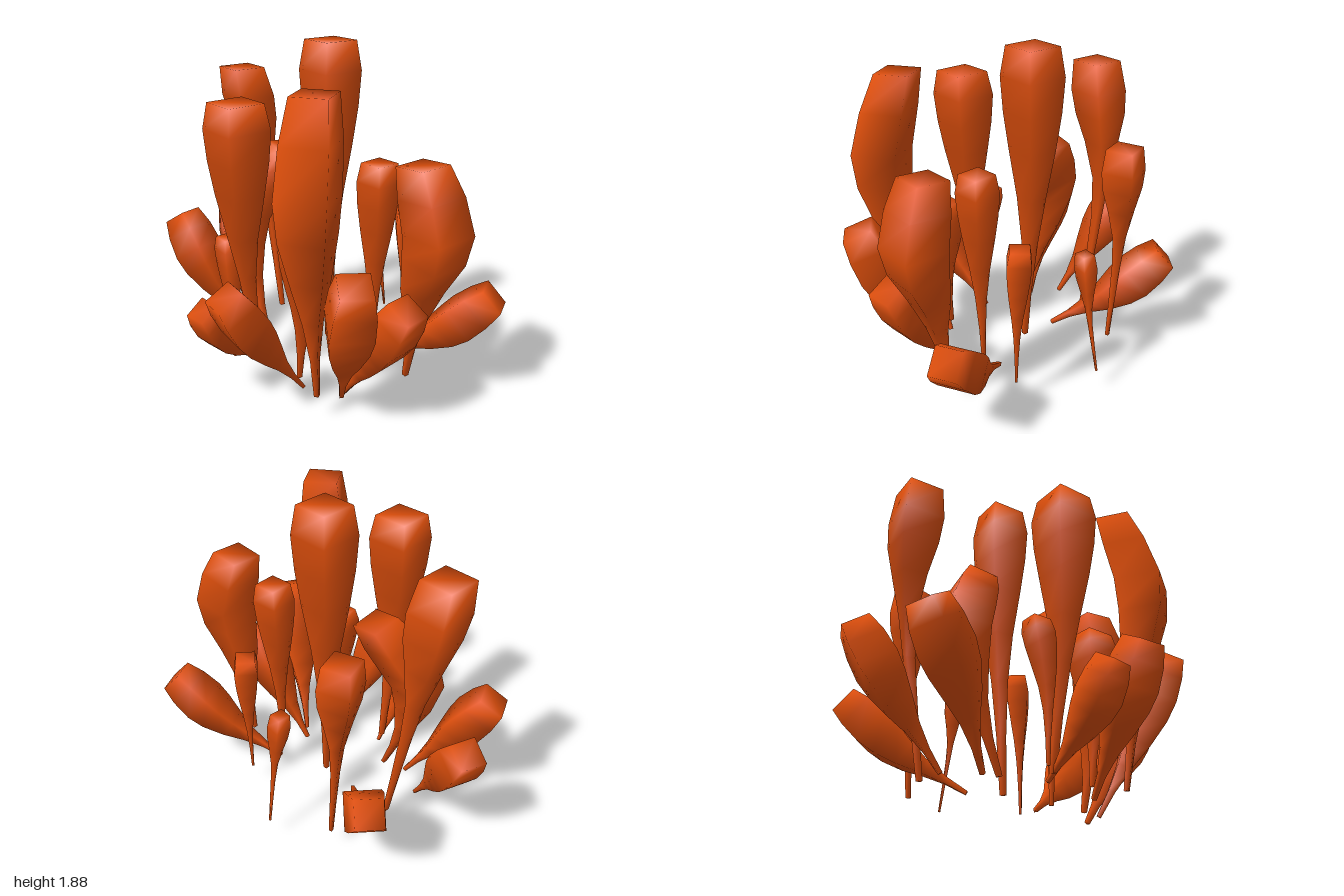
import * as THREE from 'three';

// Width along the stalk as [distance, share of full width]
const UPRIGHT = [[0, 0.11], [0.18, 0.16], [0.36, 0.28], [0.52, 0.48], [0.68, 0.75], [0.8, 0.92], [0.91, 1], [1, 0.83]];
const NECKED = [[0, 0.11], [0.2, 0.15], [0.4, 0.21], [0.55, 0.32], [0.69, 0.62], [0.8, 0.91], [0.89, 1], [1, 0.85]];
const BENT = [[0, 0.1], [0.15, 0.16], [0.3, 0.34], [0.45, 0.64], [0.6, 0.9], [0.72, 1], [0.87, 0.93], [1, 0.74]];

// Four-sided club swept along a path; tilt 0 keeps sections level, 1 turns them with the path
function clubGeometry(path, radius, angle, profile, tilt) {
  const curve = new THREE.CatmullRomCurve3(path.map((p) => new THREE.Vector3(...p)));
  const up = new THREE.Vector3(0, 1, 0);
  const points = [], index = [];
  profile.forEach(([u, w]) => {
    const centre = curve.getPointAt(u);
    const dir = up.clone().lerp(curve.getTangentAt(u), tilt).normalize();
    const q = new THREE.Quaternion().setFromUnitVectors(up, dir);
    for (let k = 0; k < 4; k++) {
      const a = angle + k * Math.PI / 2;
      points.push(new THREE.Vector3(Math.cos(a), 0, Math.sin(a))
        .multiplyScalar(radius * w).applyQuaternion(q).add(centre));
    }
  });
  const last = (profile.length - 1) * 4;
  for (let i = 0; i < last; i += 4) {
    for (let k = 0; k < 4; k++) {
      const a = i + k, b = i + (k + 1) % 4;
      index.push(a, a + 4, b, b, a + 4, b + 4);
    }
  }
  // The ends share corners with the sides, so the whole club shades smoothly
  index.push(0, 1, 2, 0, 2, 3);
  index.push(last, last + 3, last + 2, last, last + 2, last + 1);
  const g = new THREE.BufferGeometry().setFromPoints(points);
  g.setIndex(index);
  g.computeVertexNormals();
  return g;
}

// Upright stalks: path from base to top, corner radius, turn in degrees
const uprightStalks = [
  { path: [[0, 0.14, -0.06], [0, 1, -0.09], [0.005, 1.88, -0.09]], r: 0.167, turn: -4 },
  { path: [[-0.33, 0.14, 0.27], [-0.37, 0.9, 0.35], [-0.37, 1.63, 0.37]], r: 0.172, turn: -6 },
  { path: [[0.45, 0.14, -0.085], [0.45, 0.6, -0.09], [0.44, 0.97, -0.1]], r: 0.09, turn: 35 },
  { path: [[0.29, 0.14, 0.13], [0.3, 0.8, 0.14], [0.31, 1.3, 0.14]], r: 0.115, turn: -9 },
  { path: [[-0.06, 0.14, 0.41], [-0.03, 0.6, 0.43], [-0.02, 0.97, 0.43]], r: 0.135, turn: -7 },
  { path: [[-0.47, 0.14, 0.28], [-0.47, 0.52, 0.28], [-0.49, 0.86, 0.24]], r: 0.083, turn: -5 },
];

// Upright stalks with a long thin neck
const neckedStalks = [
  { path: [[-0.37, 0.14, -0.37], [-0.48, 1, -0.44], [-0.58, 1.67, -0.375]], r: 0.157, turn: -3 },
  { path: [[-0.07, 0.14, -0.55], [-0.1, 0.8, -0.58], [-0.12, 1.32, -0.575]], r: 0.127, turn: -23 },
  { path: [[0.28, 0.14, -0.51], [0.25, 0.5, -0.45], [0.21, 0.84, -0.41]], r: 0.062, turn: 0 },
];

// Tall stalks that bow outward and come back at the top
const bowedStalks = [
  { path: [[0.07, 0.14, 0.56], [0.07, 0.85, 0.67], [0.07, 1.25, 0.72], [0.075, 1.74, 0.595]], r: 0.177, turn: 50, tilt: 0 },
  { path: [[0.5, 0.14, 0.27], [0.57, 0.68, 0.34], [0.64, 1, 0.385], [0.545, 1.365, 0.345]], r: 0.176, turn: -5, tilt: 0.3 },
  { path: [[-0.35, 0.14, 0.02], [-0.47, 0.57, -0.08], [-0.5, 0.87, -0.125], [-0.26, 1.275, -0.145]], r: 0.16, turn: 0, tilt: 0.5 },
];

// Outer stalks lean away from the middle with one flat side facing outward
const leaningStalks = [
  { path: [[-0.17, 0.12, -0.2], [-0.22, 0.34, -0.54], [-0.28, 0.61, -0.84]], r: 0.145 },
  { path: [[-0.54, 0.12, -0.2], [-0.66, 0.47, -0.4], [-0.75, 0.81, -0.585]], r: 0.137 },
  { path: [[-0.48, 0.12, -0.02], [-0.725, 0.48, -0.06], [-0.92, 0.805, -0.15]], r: 0.142 },
  { path: [[0.29, 0.12, 0.04], [0.66, 0.35, 0.11], [0.94, 0.61, 0.165]], r: 0.142 },
  { path: [[0.16, 0.01, 0.34], [0.39, 0.42, 0.495], [0.525, 0.71, 0.58]], r: 0.145 },
  { path: [[0.17, 0.04, 0.4], [0.24, 0.52, 0.65], [0.305, 0.925, 0.805]], r: 0.155 },
  { path: [[-0.04, 0.08, 0.41], [-0.245, 0.49, 0.61], [-0.35, 0.76, 0.73]], r: 0.142 },
  { path: [[-0.31, 0.11, 0.24], [-0.46, 0.4, 0.49], [-0.52, 0.6, 0.6]], r: 0.115 },
];

export function createModel() {
  const group = new THREE.Group();
  group.name = 'stalkCluster';
  const orange = new THREE.MeshStandardMaterial({ color: 0xdf4f0c });
  orange.name = 'orange';
  const add = (name, geometry) => {
    const mesh = new THREE.Mesh(geometry, orange);
    mesh.name = name;
    group.add(mesh);
  };
  const rad = THREE.MathUtils.degToRad;

  uprightStalks.forEach((s, i) => add(`uprightStalk${i + 1}`, clubGeometry(s.path, s.r, rad(s.turn), UPRIGHT, 0)));
  neckedStalks.forEach((s, i) => add(`neckedStalk${i + 1}`, clubGeometry(s.path, s.r, rad(s.turn), NECKED, 0)));
  bowedStalks.forEach((s, i) => add(`bowedStalk${i + 1}`, clubGeometry(s.path, s.r, rad(s.turn), BENT, s.tilt)));
  leaningStalks.forEach((s, i) => {
    const [base, , top] = s.path;
    const heading = Math.atan2(top[2] - base[2], top[0] - base[0]);
    add(`leaningStalk${i + 1}`, clubGeometry(s.path, s.r, heading + Math.PI / 4, BENT, 1));
  });
  return group;
}
